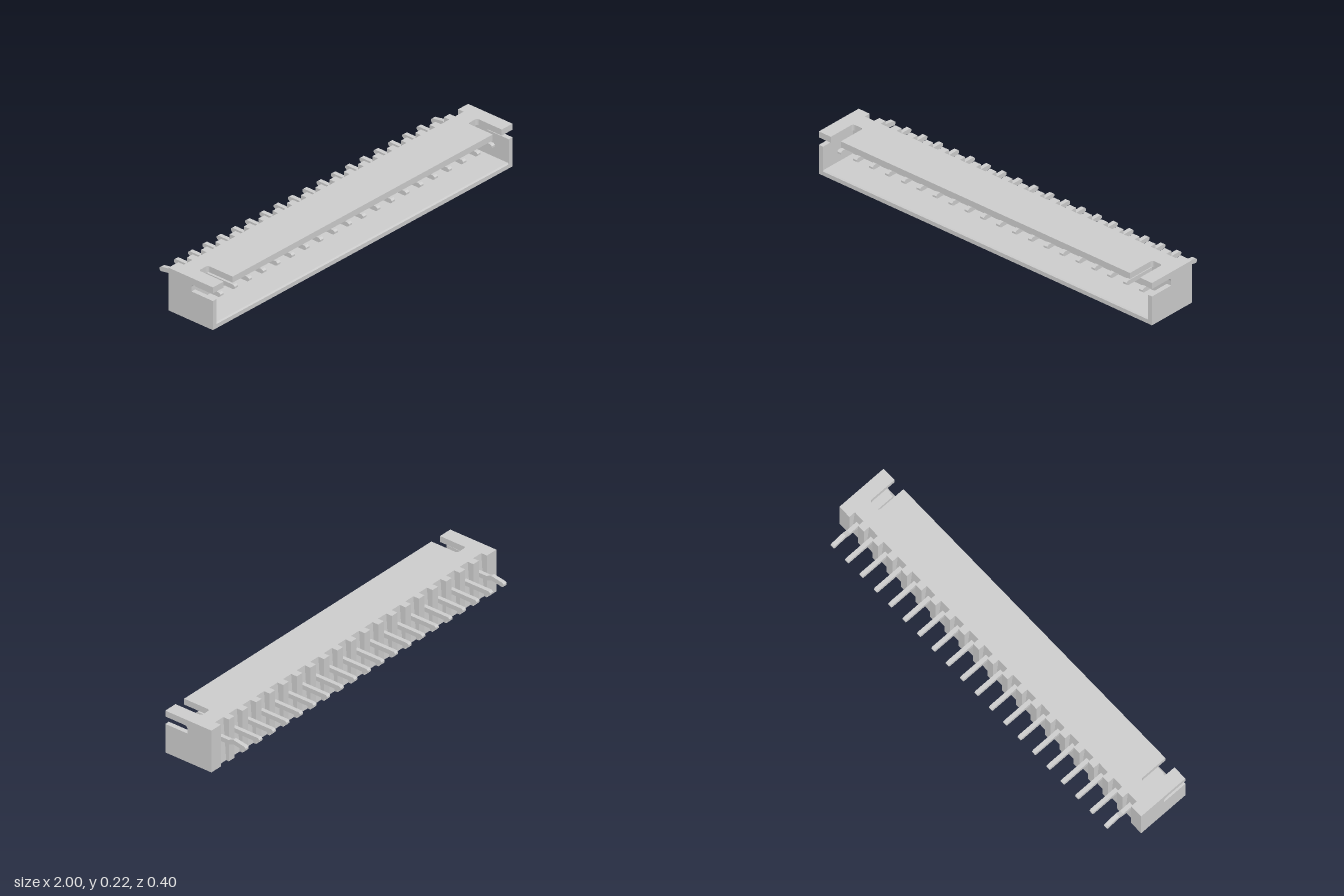
import * as THREE from 'three';

const PINS = 20, PITCH = 0.0953, GROOVE = 0.057;
const pinX = i => (i - (PINS - 1) / 2) * PITCH;

export function createModel() {
  const group = new THREE.Group();
  const mat = new THREE.MeshStandardMaterial({ color: 0xcccccc, flatShading: true });

  const add = (name, geo, x = 0) => {
    const mesh = new THREE.Mesh(geo, mat);
    mesh.name = name;
    mesh.position.x = x;
    group.add(mesh);
    return mesh;
  };
  const box = (name, x0, x1, y0, y1, z0, z1) => {
    const g = new THREE.BoxGeometry(x1 - x0, y1 - y0, z1 - z0);
    g.translate((x0 + x1) / 2, (y0 + y1) / 2, (z0 + z1) / 2);
    return add(name, g);
  };
  const toShape = pts => new THREE.Shape(pts.map(p => new THREE.Vector2(p[0], p[1])));
  // side profile given as (z, y), extruded along x and centred
  const profileX = (shape, width) => {
    const g = new THREE.ExtrudeGeometry(shape, { depth: width, bevelEnabled: false, curveSegments: 6 });
    g.translate(0, 0, -width / 2);
    return g.rotateY(-Math.PI / 2);
  };

  // floor with a chamfered front lip
  add('floor', profileX(toShape([[-0.035, 0], [0.2, 0], [0.2, 0.021], [0.194, 0.027], [-0.035, 0.027]]), 1.95));
  box('backWall', -0.975, 0.975, 0.027, 0.19, -0.035, 0);

  // top plate with two latch slots open at the front
  const top = new THREE.Shape();
  top.moveTo(-1, 0.035);
  top.lineTo(-1, -0.2);
  for (const c of [-0.898, 0.898]) {
    const a = c - 0.03, b = c + 0.03, r = 0.014;
    top.lineTo(a, -0.2);
    top.lineTo(a, -0.05 - r);
    top.quadraticCurveTo(a, -0.05, a + r, -0.05);
    top.lineTo(b - r, -0.05);
    top.quadraticCurveTo(b, -0.05, b, -0.05 - r);
    top.lineTo(b, -0.2);
  }
  top.lineTo(1, -0.2);
  top.lineTo(1, 0.035);
  const topGeo = new THREE.ExtrudeGeometry(top, { depth: 0.031, bevelEnabled: false, curveSegments: 5 });
  topGeo.rotateX(-Math.PI / 2).translate(0, 0.189, 0);
  add('topPlate', topGeo);

  // end walls with a side slot
  const wall = new THREE.Shape();
  wall.moveTo(-0.035, 0);
  wall.lineTo(0.2, 0);
  wall.lineTo(0.2, 0.15);
  wall.lineTo(0.071, 0.15);
  wall.lineTo(0.071, 0.171);
  wall.quadraticCurveTo(0.071, 0.189, 0.089, 0.189);
  wall.lineTo(-0.035, 0.189);
  for (const s of [-1, 1]) add('endWall', profileX(wall, 0.025), s * 0.9875);

  // ribs on the back, between the pin grooves
  const edge = pinX(PINS - 1) + GROOVE / 2;
  box('endRib', -1, -edge, 0, 0.22, -0.068, -0.035);
  box('endRib', edge, 1, 0, 0.22, -0.068, -0.035);
  for (let i = 0; i < PINS - 1; i++) {
    box('rib', pinX(i) + GROOVE / 2, pinX(i + 1) - GROOVE / 2, 0, 0.22, -0.068, -0.035);
  }

  // sloping groove floors
  const slope = profileX(toShape([[-0.035, 0], [-0.035, 0.22], [-0.052, 0]]), GROOVE);

  // contact pins: straight, with kinked retention legs at both ends
  const pinProfile = kink => toShape([
    [0.16, 0.12], [0.17, 0.127], [0.17, 0.136], [0.16, 0.143],
    [-0.1, 0.143], [-0.125, 0.143 + kink], [-0.19, 0.143], [-0.198, 0.136],
    [-0.198, 0.127], [-0.19, 0.12], [-0.125, 0.12 + kink], [-0.1, 0.12],
  ]);
  const straight = profileX(pinProfile(0), 0.021);
  const kinked = profileX(pinProfile(0.011), 0.021);
  for (let i = 0; i < PINS; i++) {
    add('grooveFloor', slope, pinX(i));
    add('pin', i === 0 || i === PINS - 1 ? kinked : straight, pinX(i));
  }
  return group;
}
